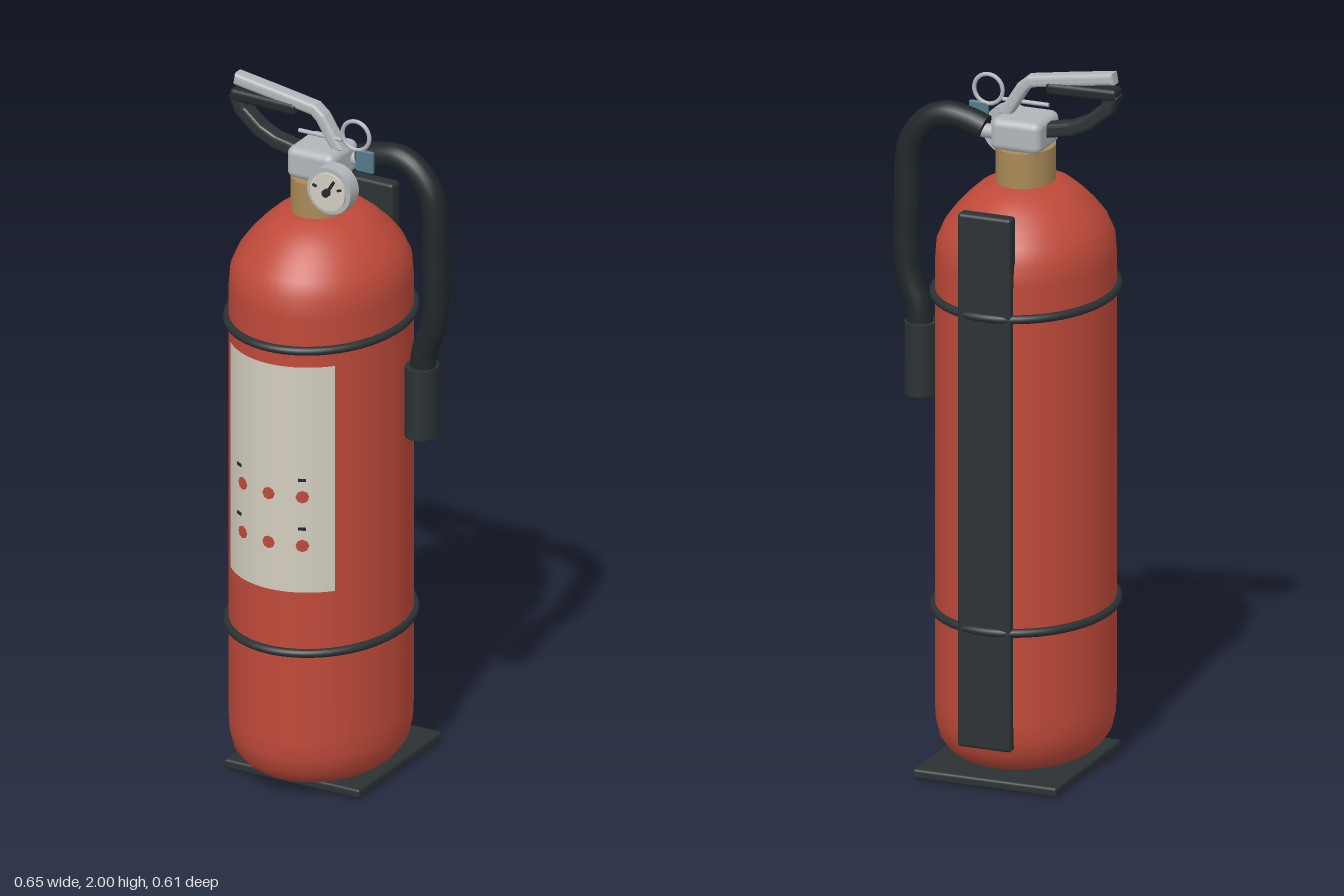
import * as THREE from 'three';
import { RoundedBoxGeometry } from 'three/addons/geometries/RoundedBoxGeometry.js';

const V = (x, y, z = 0) => new THREE.Vector3(x, y, z);
const mat = (color, extra = {}) => new THREE.MeshStandardMaterial({ color, ...extra });

export function createModel() {
  const root = new THREE.Group();
  const red = mat(0xbf4a3a), black = mat(0x2b3234), rubber = mat(0x20272a, { side: THREE.DoubleSide });
  const steel = mat(0xb2b6ba), brass = mat(0xaa8a58), cream = mat(0xd2cdbe, { side: THREE.DoubleSide });
  const ink = mat(0x25282b), blue = mat(0x55798a);
  const CX = -0.05, ZS = 1.19; // axis of the oval cylinder and its depth stretch

  const add = (name, geo, material, x = 0, y = 0, z = 0, parent = root) => {
    const m = new THREE.Mesh(geo, material);
    m.name = name;
    m.position.set(x, y, z);
    parent.add(m);
    return m;
  };

  // Side profile through a list of points, given a thickness and extruded across z with rounded edges
  const bentBar = (pts, thick, width, bevel) => {
    const left = [], right = [], h = thick / 2 - bevel;
    pts.forEach(([x, y], i) => {
      const a = pts[Math.max(i - 1, 0)], b = pts[Math.min(i + 1, pts.length - 1)];
      const l = Math.hypot(b[0] - a[0], b[1] - a[1]);
      const nx = -(b[1] - a[1]) / l * h, ny = (b[0] - a[0]) / l * h;
      left.push(new THREE.Vector2(x + nx, y + ny));
      right.unshift(new THREE.Vector2(x - nx, y - ny));
    });
    const geo = new THREE.ExtrudeGeometry(new THREE.Shape([...left, ...right]), {
      depth: width - 2 * bevel, bevelEnabled: true, bevelSize: bevel, bevelThickness: bevel, bevelSegments: 3,
    });
    return geo.translate(0, 0, -width / 2 + bevel);
  };

  // Oval body: everything in this group is round before the depth stretch
  const body = new THREE.Group();
  body.name = 'body';
  body.position.x = CX;
  body.scale.z = ZS;
  root.add(body);

  const profile = [[0, 0.035], [0.185, 0.037], [0.207, 0.055], [0.228, 0.085], [0.238, 0.13], [0.24, 0.18], [0.24, 1.44],
    [0.236, 1.495], [0.217, 1.54], [0.19, 1.577], [0.16, 1.61], [0.125, 1.642], [0.08, 1.66], [0, 1.662]];
  add('tank', new THREE.LatheGeometry(profile.map(p => new THREE.Vector2(...p)), 64), red, 0, 0, 0, body);
  add('neck', new THREE.CylinderGeometry(0.08, 0.08, 0.12, 40), brass, 0, 1.70, 0, body);
  for (const y of [0.45, 1.35]) {
    add('band', new THREE.TorusGeometry(0.243, 0.012, 10, 64).rotateX(Math.PI / 2), black, 0, y, 0, body);
  }

  // Curved label with rows of round symbols and small dashes
  const half = 0.748, LR = 0.2415;
  add('label', new THREE.CylinderGeometry(LR, LR, 0.67, 32, 1, true, -half, 2 * half), cream, 0, 0.965, 0, body);
  const onLabel = (name, geo, material, dx, y) => {
    const a = Math.asin(dx / LR);
    add(name, geo, material, LR * Math.sin(a), y, LR * Math.cos(a), body).rotation.y = a;
  };
  for (const y of [0.915, 0.77]) {
    for (const dx of [-0.093, 0, 0.093]) {
      onLabel('symbol', new THREE.CylinderGeometry(0.018, 0.018, 0.005, 8).rotateX(Math.PI / 2), red, dx, y);
    }
    for (const dx of [-0.108, 0.092]) onLabel('dash', new THREE.BoxGeometry(0.02, 0.008, 0.006), ink, dx, y + 0.05);
  }

  // Stand plate and back rail
  add('basePlate', new RoundedBoxGeometry(0.425, 0.028, 0.456, 3, 0.008), black, CX, 0.014, -0.064);
  add('backRail', new RoundedBoxGeometry(0.158, 1.53, 0.043, 3, 0.01), black, CX + 0.002, 0.875, -0.27);

  // Valve
  add('valveBlock', new RoundedBoxGeometry(0.148, 0.092, 0.153, 4, 0.022), steel, -0.048, 1.8, -0.003);

  // Lever on top, carry handle below it
  add('lever', bentBar([[-0.305, 1.982], [-0.18, 1.963], [-0.068, 1.945], [-0.045, 1.925], [0.005, 1.845]], 0.034, 0.045, 0.011),
    steel, 0, 0, -0.002);
  add('carryHandle', bentBar([[-0.308, 1.93], [-0.295, 1.895], [-0.24, 1.848], [-0.19, 1.825], [-0.09, 1.805]], 0.04, 0.05, 0.011),
    black, 0, 0, -0.002);
  add('handleGrip', new RoundedBoxGeometry(0.208, 0.036, 0.055, 3, 0.012), ink, -0.222, 1.936, -0.002).rotation.z = -0.02;

  // Safety pin, ring and seal tag
  add('pin', new THREE.CylinderGeometry(0.006, 0.006, 0.135, 12).rotateZ(Math.PI / 2), steel, -0.045, 1.875, 0.012);
  add('pinRing', new THREE.TorusGeometry(0.042, 0.006, 10, 36), steel, 0.066, 1.898, 0.013);
  add('sealTag', new RoundedBoxGeometry(0.056, 0.064, 0.012, 2, 0.004), blue, 0.094, 1.828, 0.013);

  // Pressure gauge
  const gauge = new THREE.Group();
  gauge.name = 'gauge';
  gauge.position.set(0.038, 1.765, 0);
  root.add(gauge);
  const disc = (name, r, z0, z1, m) =>
    add(name, new THREE.CylinderGeometry(r, r, z1 - z0, 36).rotateX(Math.PI / 2), m, 0, 0, (z0 + z1) / 2, gauge);
  disc('gaugeCase', 0.068, 0.066, 0.113, steel);
  disc('gaugeFace', 0.055, 0.11, 0.121, cream);
  disc('gaugeHub', 0.011, 0.12, 0.134, ink);
  add('gaugeNeedle', new THREE.BoxGeometry(0.008, 0.045, 0.006), ink, 0.012, 0.018, 0.127, gauge).rotation.z = -0.55;
  for (const a of [0.35, 2.8]) {
    add('gaugeMark', new THREE.BoxGeometry(0.012, 0.006, 0.008), ink, 0.041 * Math.cos(a), 0.041 * Math.sin(a), 0.122, gauge).rotation.z = a;
  }

  // Hose, its fitting and the nozzle
  const HZ = -0.048;
  add('hoseFitting', new THREE.CylinderGeometry(0.02, 0.02, 0.09, 20).rotateZ(Math.PI / 2), steel, 0.04, 1.8, HZ);
  const hosePath = new THREE.CatmullRomCurve3([V(0.05, 1.808), V(0.1, 1.825), V(0.165, 1.833), V(0.215, 1.812), V(0.262, 1.755),
    V(0.278, 1.69), V(0.28, 1.6), V(0.281, 1.41), V(0.272, 1.35), V(0.246, 1.27), V(0.24, 1.2)].map(p => p.setZ(HZ)));
  add('hose', new THREE.TubeGeometry(hosePath, 80, 0.036, 20), rubber);
  const cap = add('hoseEnd', new THREE.CircleGeometry(0.036, 20), rubber, 0.05, 1.808, HZ);
  cap.lookAt(hosePath.getPoint(0).sub(hosePath.getTangent(0)));
  add('nozzle', new THREE.CylinderGeometry(0.045, 0.045, 0.205, 32), black, 0.238, 1.1275, HZ).scale.z = ZS;

  return root;
}
